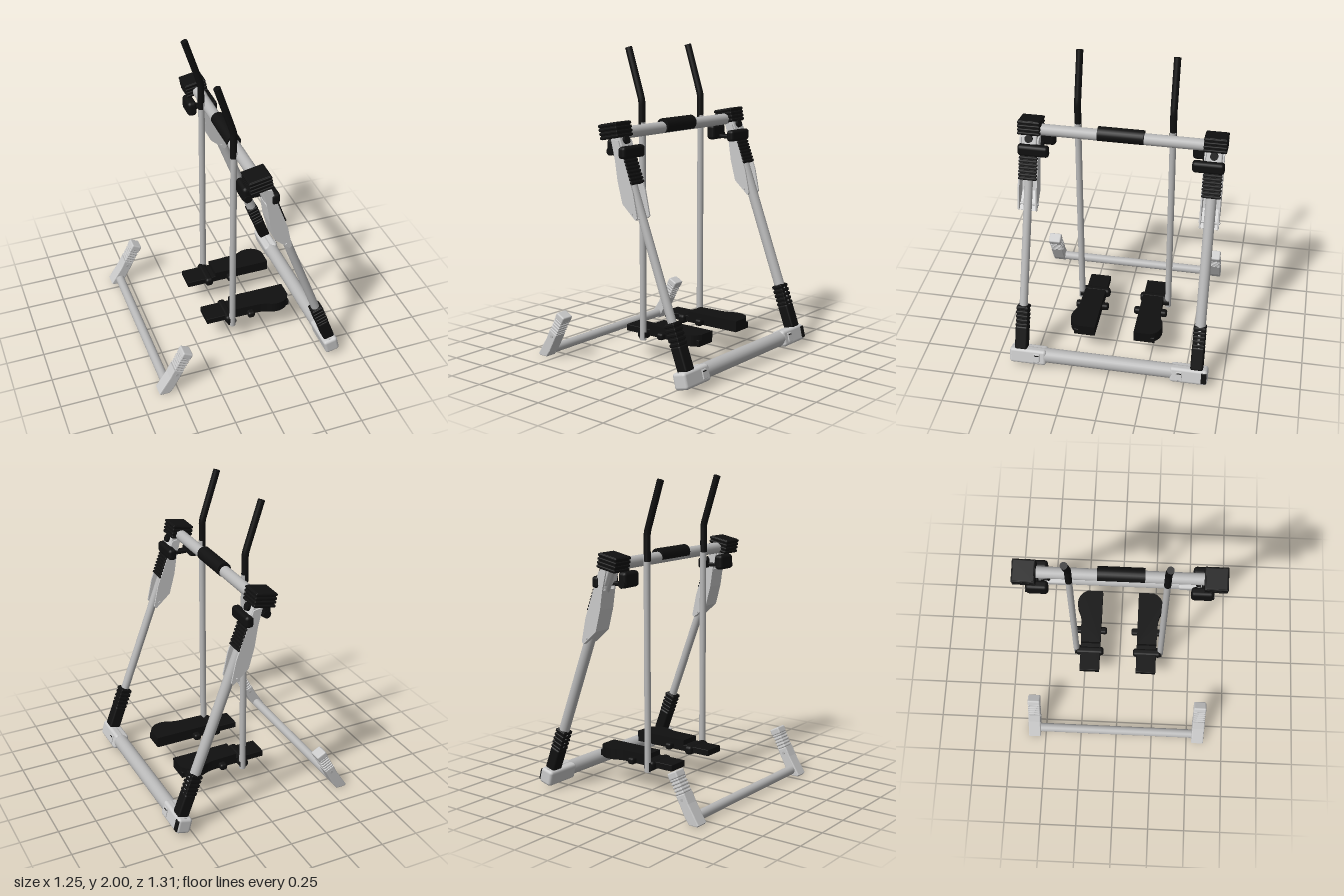
import * as THREE from 'three';
import { RoundedBoxGeometry } from 'three/addons/geometries/RoundedBoxGeometry.js';

const black = new THREE.MeshStandardMaterial({ color: 0x101010 });
black.name = 'black plastic';
const tubeGrey = new THREE.MeshStandardMaterial({ color: 0xb8b8b8 });
tubeGrey.name = 'tube grey';
const lightGrey = new THREE.MeshStandardMaterial({ color: 0xcacaca });
lightGrey.name = 'light grey';

function add(parent, name, geometry, material, x = 0, y = 0, z = 0) {
  const mesh = new THREE.Mesh(geometry, material);
  mesh.name = name;
  mesh.position.set(x, y, z);
  parent.add(mesh);
  return mesh;
}

function group(parent, name, x = 0, y = 0, z = 0, tilt = 0) {
  const g = new THREE.Group();
  g.name = name;
  g.position.set(x, y, z);
  g.rotation.z = tilt;
  parent.add(g);
  return g;
}

const box = (w, h, d, r = 0.01) => new RoundedBoxGeometry(w, h, d, 2, r);
const rod = (r, len) => new THREE.CylinderGeometry(r, r, len, 24);
const rodZ = (r, len) => rod(r, len).rotateX(Math.PI / 2);

// Solid between two z planes, from a side profile
function slab(points, depth, bevel = 0) {
  const shape = new THREE.Shape(points.map(p => new THREE.Vector2(...p)));
  const geo = new THREE.ExtrudeGeometry(shape, {
    depth: depth - 2 * bevel, bevelEnabled: bevel > 0, bevelSize: bevel,
    bevelThickness: bevel, bevelOffset: -bevel, bevelSegments: 2,
  });
  return geo.translate(0, 0, bevel - depth / 2);
}

// Stack of ribs around a thinner core, rising along local y
function ribs(parent, name, w, d, y0, y1, count, material) {
  const pitch = (y1 - y0) / count;
  add(parent, name + 'Core', box(w - 0.012, y1 - y0, d - 0.012, 0.005), material, 0, (y0 + y1) / 2);
  for (let i = 0; i < count; i++) {
    add(parent, name + 'Rib', box(w, pitch * 0.72, d, 0.006), material, 0, y0 + pitch * (i + 0.5));
  }
}

// Slanted leg with its sleeves and hinge bracket
function addLeg(model, s) {
  const leg = group(model, 'leg', 0.56, 0.12, s * 0.58, 0.358);
  add(leg, 'legTube', rod(s > 0 ? 0.027 : 0.034, 1.44), tubeGrey, 0, 0.72);
  ribs(leg, 'lowerSleeve', 0.078, 0.08, 0.16, 0.305, 5, black);
  add(leg, 'lowerSleeveBase', box(0.075, 0.16, 0.082, 0.012), black, 0, 0.085);

  // Hinge bracket: two side plates and a folded rear web
  const side = [[-0.015, 1.45], [0.035, 1.42], [0.034, 1.1], [0.012, 0.95], [-0.006, 0.942],
    [-0.068, 1.06], [-0.055, 1.2], [-0.03, 1.32]];
  for (const k of [-1, 1]) add(leg, 'bracketSide', slab(side, 0.01), lightGrey, 0, 0, k * 0.057);
  const web = [[-0.006, 0.942], [-0.068, 1.06], [-0.055, 1.2], [-0.03, 1.32],
    [-0.022, 1.32], [-0.046, 1.2], [-0.058, 1.063], [0.002, 0.945]];
  add(leg, 'bracketWeb', slab(web, 0.124), lightGrey);
  add(leg, 'bracketPin', rodZ(0.008, 0.136), lightGrey, -0.015, 0.985);

  // Ribbed cover on the outer face of the bracket
  const cover = group(leg, 'upperSleeve', 0.022, 0);
  ribs(cover, 'upperSleeve', 0.045, 0.122, 1.15, 1.35, 9, black);
  add(leg, 'bracketNeck', box(0.07, 0.13, 0.1), lightGrey, 0.005, 1.41);
  add(leg, 'neckBolt', rod(0.025, 0.02).rotateZ(Math.PI / 2), black, 0.048, 1.42);
}

// Ribbed corner cap and the two clamp knobs
function addCorner(model, s) {
  const cap = group(model, 'cornerCap', 0.025, 1.515, s * 0.583, 0.19);
  ribs(cap, 'cornerCap', 0.145, 0.145, -0.045, 0.05, 4, black);
  add(model, 'frontClamp', box(0.055, 0.075, 0.2, 0.02), black, 0.122, 1.393, s * 0.55);
  add(model, 'rearClamp', box(0.062, 0.1, 0.14, 0.022), black, -0.028, 1.41, s * 0.507);
  add(model, 'clampLink', box(0.13, 0.025, 0.05, 0.008), black, 0.05, 1.38, s * 0.53);
  add(model, 'rearClampBolt', rodZ(0.025, 0.12), black, -0.028, 1.385, s * 0.52);
}

// Rear foot with a ribbed socket
function addRearFoot(model, s) {
  const foot = group(model, 'rearFoot', 0, 0, s * 0.578);
  const side = [[-0.63, 0.012], [-0.62, 0], [-0.56, 0], [-0.53, 0.04], [-0.465, 0.16], [-0.525, 0.19], [-0.555, 0.13]];
  add(foot, 'footBase', slab(side, 0.085, 0.006), lightGrey);
  const socket = group(foot, 'footSocket', -0.505, 0.155, 0, -0.49);
  ribs(socket, 'socket', 0.066, 0.084, 0, 0.125, 6, lightGrey);
  add(socket, 'socketEnd', box(0.072, 0.045, 0.086, 0.01), lightGrey, 0, 0.142);
  add(foot, 'footBolt', rodZ(0.01, 0.09), tubeGrey, -0.51, 0.145);
}

// Swing arm, handle and pedal on one side
function addSwing(model, s) {
  const swing = group(model, 'swingArm', 0, 0, -0.01);
  const z = s * 0.3;
  add(swing, 'armTube', rod(0.021, 1.4), tubeGrey, -0.012, 0.84, z);
  const path = new THREE.CurvePath();
  const p = [[-0.015, 1.5], [-0.015, 1.65], [-0.022, 1.695], [-0.118, 1.992]].map(a => new THREE.Vector3(...a, z));
  path.add(new THREE.LineCurve3(p[0], p[1]));
  path.add(new THREE.QuadraticBezierCurve3(p[1], new THREE.Vector3(-0.015, 1.672, z), p[2]));
  path.add(new THREE.LineCurve3(p[2], p[3]));
  add(swing, 'handleGrip', new THREE.TubeGeometry(path, 40, 0.022, 16), black);
  const end = add(swing, 'gripEnd', rod(0.022, 0.012), black, -0.118, 1.991, z);
  end.rotation.z = 0.313;
  add(swing, 'gripFoot', rod(0.022, 0.01), black, -0.015, 1.5, z);

  // Pedal: long plate plus a raised foot bed with a bulging outer edge
  add(swing, 'pedalPlate', box(0.59, 0.042, 0.14, 0.004), black, 0.115, 0.186, s * 0.2);
  const bed = new THREE.Shape();
  bed.moveTo(0.02, 0.13);
  bed.lineTo(0.41, 0.13);
  bed.lineTo(0.41, 0.24);
  bed.bezierCurveTo(0.38, 0.315, 0.3, 0.32, 0.25, 0.29);
  bed.quadraticCurveTo(0.21, 0.275, 0.17, 0.275);
  bed.lineTo(0.02, 0.27);
  bed.closePath();
  const bedGeo = new THREE.ExtrudeGeometry(bed, { depth: 0.07, bevelEnabled: false, curveSegments: 12 });
  // Lay the shape flat; the downward extrusion covers one side, the upward one its mirror
  bedGeo.rotateX(s > 0 ? Math.PI / 2 : -Math.PI / 2);
  add(swing, 'footBed', bedGeo, black, 0, s > 0 ? 0.239 : 0.169, 0);
  add(swing, 'pedalStrap', box(0.048, 0.045, 0.225, 0.015), black, 0.126, 0.187, s * 0.2);
  add(swing, 'pedalHinge', box(0.055, 0.06, 0.2, 0.02), black, -0.028, 0.182, s * 0.205);
  add(swing, 'pedalPivot', rodZ(0.032, 0.05), black, -0.018, 0.175, s * 0.285);
}

export function createModel() {
  const model = new THREE.Group();
  model.name = 'airWalker';

  // Upper crossbar with its padded sleeve
  add(model, 'crossbar', rodZ(0.037, 1.1), tubeGrey, 0.035, 1.498, 0);
  add(model, 'crossbarSleeve', rodZ(0.046, 0.292), black, 0.039, 1.51, 0.007);

  // Front base tube and rear base bar
  add(model, 'frontBase', rodZ(0.048, 1.28), tubeGrey, 0.562, 0.086, 0);
  add(model, 'rearBase', rodZ(0.03, 1.1), tubeGrey, -0.568, 0.038, 0);

  for (const s of [-1, 1]) {
    // Front base end block with a clip and an end plug
    const block = group(model, 'frontFoot', 0.563, 0.081, s * 0.531, 0.25);
    add(block, 'frontFootBlock', box(0.098, 0.105, 0.245, 0.02), lightGrey);
    add(block, 'frontFootClip', box(0.012, 0.06, 0.04, 0.004), lightGrey, 0.05, 0, -s * 0.06);
    add(block, 'frontFootClipSlot', new THREE.BoxGeometry(0.004, 0.006, 0.03), black, 0.056, 0.018, -s * 0.06);
    if (s < 0) add(block, 'footPlug', box(0.015, 0.075, 0.035, 0.005), black, 0.046, 0, s * 0.1);
    addLeg(model, s);
    addCorner(model, s);
    addRearFoot(model, s);
    addSwing(model, s);
  }
  return model;
}
